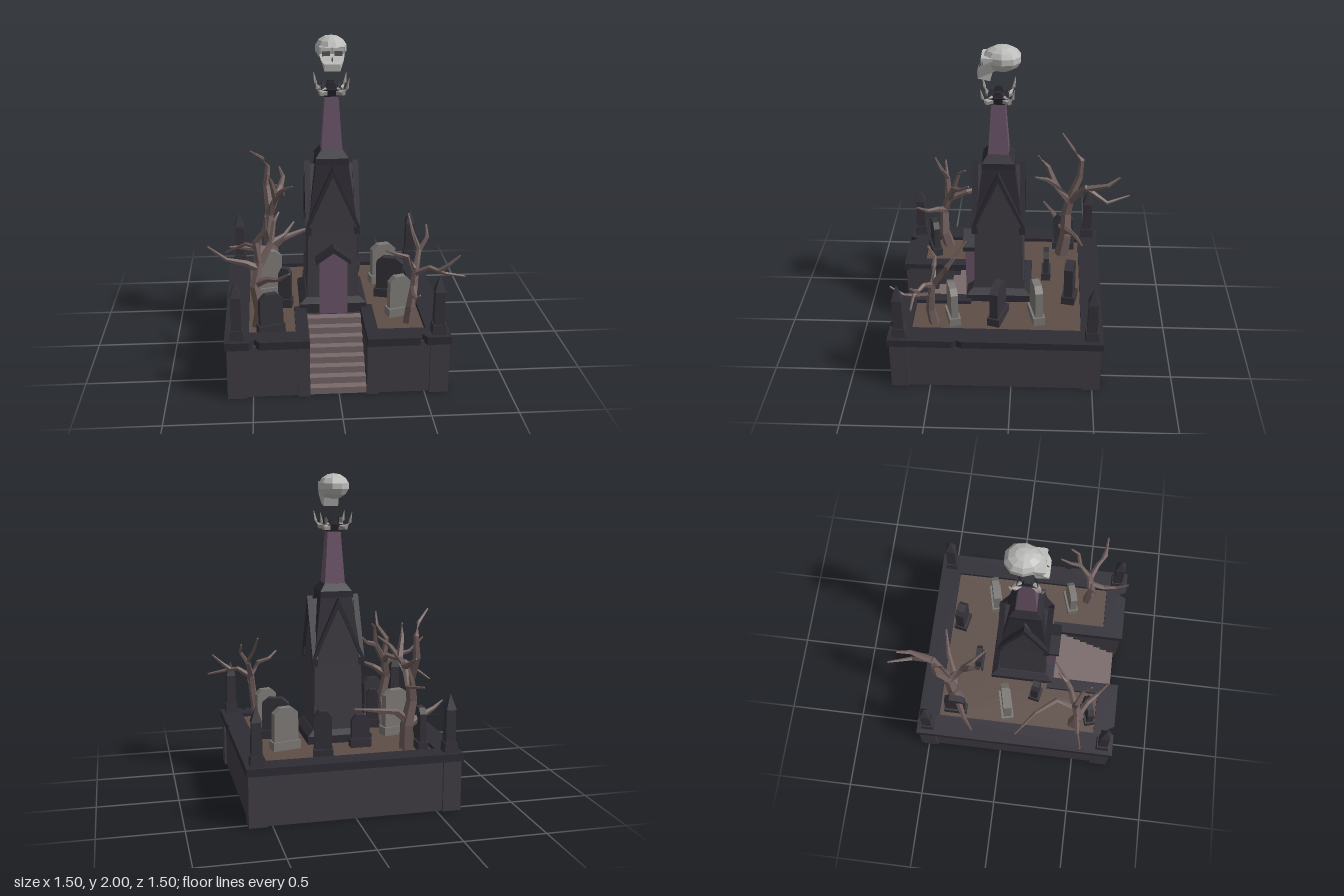
import * as THREE from 'three';

const mat = (color) => new THREE.MeshStandardMaterial({ color, flatShading: true });
const M = {
  trim: mat(0x2f2d35), wall: mat(0x413e45), stone: mat(0x36343b), pale: mat(0x7c7975),
  dirt: mat(0x5e4e47), step: mat(0x79696a), purple: mat(0x6d566b), bark: mat(0x705f5d),
  bone: mat(0xbcbcba), horn: mat(0xa19d99), socket: mat(0x5a5a5c),
};
const CX = -0.004, CZ = 0.095; // centre of the plot and tower

function add(parent, name, geo, material, x = 0, y = 0, z = 0, ry = 0) {
  const mesh = new THREE.Mesh(geo, material);
  mesh.name = name;
  mesh.position.set(x, y, z);
  mesh.rotation.y = ry;
  parent.add(mesh);
  return mesh;
}
// box from its min and max corners
function block(parent, name, material, x0, x1, y0, y1, z0, z1) {
  return add(parent, name, new THREE.BoxGeometry(x1 - x0, y1 - y0, z1 - z0), material,
    (x0 + x1) / 2, (y0 + y1) / 2, (z0 + z1) / 2);
}
// square frustum, half widths b (bottom) and t (top), standing on y = y0
function frustum(b, t, y0, y1) {
  return new THREE.CylinderGeometry(t * Math.SQRT2, b * Math.SQRT2, y1 - y0, 4)
    .rotateY(Math.PI / 4).translate(0, (y0 + y1) / 2, 0);
}
const shape = (pts) => new THREE.Shape(pts.map(([x, y]) => new THREE.Vector2(x, y)));
const extrude = (pts, depth) => new THREE.ExtrudeGeometry(shape(pts), { depth, bevelEnabled: false });
// plan outline in x, z, extruded down from y = top
const plan = (pts, top, depth) => extrude(pts, depth).rotateX(Math.PI / 2).translate(0, top, 0);

// tapering five-sided branch along a bent path
function branch(pts, r0, r1) {
  const p = pts.map((a) => new THREE.Vector3(...a)), N = 5, pos = [], idx = [];
  p.forEach((c, i) => {
    const dir = p[Math.min(i + 1, p.length - 1)].clone().sub(p[Math.max(i - 1, 0)]).normalize();
    const ref = Math.abs(dir.y) > 0.8 ? new THREE.Vector3(0, 0, 1) : new THREE.Vector3(0, 1, 0);
    const u = ref.clone().addScaledVector(dir, -ref.dot(dir)).normalize();
    const v = dir.clone().cross(u);
    const r = r0 + (r1 - r0) * i / (p.length - 1);
    for (let k = 0; k < N; k++) {
      const a = k / N * Math.PI * 2;
      const q = c.clone().addScaledVector(u, r * Math.cos(a)).addScaledVector(v, r * Math.sin(a));
      pos.push(q.x, q.y, q.z);
      if (i) {
        const A = (i - 1) * N + k, B = (i - 1) * N + (k + 1) % N;
        idx.push(A, B, B + N, A, B + N, A + N);
      }
    }
  });
  const e = (p.length - 1) * N;
  for (let k = 1; k < N - 1; k++) idx.push(e, e + k, e + k + 1);
  const g = new THREE.BufferGeometry();
  g.setAttribute('position', new THREE.Float32BufferAttribute(pos, 3));
  g.setIndex(idx);
  g.computeVertexNormals();
  return g;
}
function tree(root, name, trunk, r, branches) {
  const g = new THREE.Group();
  g.name = name;
  root.add(g);
  add(g, 'trunk', branch(trunk, r, r * 0.6), M.bark);
  branches.forEach((b) => add(g, 'branch', branch(b, b.length > 3 ? r * 0.6 : r * 0.48, 0.006), M.bark));
}

// gravestone with clipped corners on a low foot
function grave(root, x, z, w, d, top, ry, material) {
  const g = new THREE.Group(), h = top - 0.33, a = w * 0.44;
  g.name = 'gravestone';
  g.position.set(x, 0.33, z);
  g.rotation.y = ry;
  root.add(g);
  add(g, 'foot', new THREE.BoxGeometry(w, 0.06, d + 0.015), material, 0, 0.03, 0);
  add(g, 'slab', extrude([[-a, 0], [a, 0], [a, h - 0.035], [a * 0.5, h], [-a * 0.5, h], [-a, h - 0.035]], d * 0.8)
    .translate(0, 0, -d * 0.4), material);
}

function buildPlot(root) {
  add(root, 'plotWalls', plan([[-0.17, 0.72], [-0.635, 0.72], [-0.635, -0.535], [0.627, -0.535], [0.627, 0.72],
    [0.162, 0.72], [0.162, 0.31], [-0.17, 0.31]], 0.325, 0.325), M.wall);
  add(root, 'rim', plan([[-0.17, 0.75], [-0.46, 0.75], [-0.49, 0.7], [-0.52, 0.75], [-0.66, 0.75], [-0.66, -0.56],
    [0.65, -0.56], [0.65, 0.3], [0.635, 0.33], [0.65, 0.36], [0.65, 0.75], [0.51, 0.75], [0.485, 0.7], [0.465, 0.75],
    [0.162, 0.75], [0.162, 0.27], [0.235, 0.27], [0.235, 0.615], [0.515, 0.615], [0.515, -0.425], [-0.52, -0.425],
    [-0.52, 0.615], [-0.245, 0.615], [-0.245, 0.27], [-0.17, 0.27]], 0.36, 0.047), M.trim);
  add(root, 'soil', plan([[-0.53, -0.44], [0.525, -0.44], [0.525, 0.63], [0.2, 0.63], [0.2, 0.29], [-0.2, 0.29],
    [-0.2, 0.63], [-0.53, 0.63]], 0.336, 0.02), M.dirt);
  for (const sx of [-1, 1]) {
    for (const sz of [-1, 1]) {
      add(root, 'cornerPillar', new THREE.BoxGeometry(0.112, 0.32, 0.112), M.wall, CX + sx * 0.588, 0.16, CZ + sz * 0.588);
      // corner obelisks
      const o = new THREE.Group();
      o.name = 'obelisk';
      o.position.set(CX + sx * 0.585, 0, CZ + sz * 0.585);
      root.add(o);
      add(o, 'obeliskFoot', frustum(0.042, 0.038, 0.355, 0.42), M.stone);
      add(o, 'obeliskShaft', frustum(0.032, 0.028, 0.42, 0.62), M.stone);
      add(o, 'obeliskCap', frustum(0.032, 0.001, 0.62, 0.715), M.stone);
    }
    const x = CX + sx * 0.201;
    block(root, 'stairPillar', M.wall, x - 0.035, x + 0.035, 0, 0.32, 0.62, 0.738);
  }
  // stairs
  for (let i = 0; i < 8; i++)
    block(root, 'step', M.step, -0.172, 0.164, 0, 0.04 * (i + 1), 0.25, 0.717 - i * 0.05);
}

function buildTower(root) {
  const t = new THREE.Group();
  t.name = 'tower';
  t.position.set(CX, 0, CZ);
  root.add(t);
  add(t, 'plinth', frustum(0.205, 0.205, 0.32, 0.385), M.trim);
  add(t, 'plinthSlope', frustum(0.205, 0.165, 0.385, 0.415), M.trim);
  add(t, 'walls', frustum(0.158, 0.148, 0.4, 0.84), M.wall);
  add(t, 'roofCore', frustum(0.145, 0.098, 0.9, 1.245), M.trim);
  // crossed gables with heavy verge boards
  const tri = extrude([[-0.148, 0.83], [0.148, 0.83], [0, 1.225]], 0.3).translate(0, 0, -0.15);
  const verge = extrude([[-0.165, 0.82], [0, 1.185], [0.165, 0.82], [0.165, 0.87], [0, 1.245], [-0.165, 0.87]], 0.035)
    .translate(0, 0, 0.13);
  for (let i = 0; i < 4; i++) {
    if (i < 2) add(t, 'gable', tri, M.wall, 0, 0, 0, i * Math.PI / 2);
    add(t, 'verge', verge, M.trim, 0, 0, 0, i * Math.PI / 2);
  }
  add(t, 'spireBase', frustum(0.1, 0.1, 1.24, 1.28), M.trim);
  add(t, 'spireShoulder', frustum(0.1, 0.066, 1.28, 1.325), M.trim);
  add(t, 'spire', frustum(0.064, 0.041, 1.32, 1.65), M.purple);
  // crown with points and horns
  add(t, 'crown', frustum(0.043, 0.062, 1.645, 1.69), M.trim);
  for (let i = 0; i < 4; i++) {
    const a = i * Math.PI / 2;
    add(t, 'crownPoint', extrude([[-0.035, 1.68], [0.035, 1.68], [0.018, 1.73], [-0.018, 1.73]], 0.02)
      .translate(0, 0, 0.036), M.trim, 0, 0, 0, a);
    add(t, 'horn', branch([[0.035, 1.675, 0.035], [0.068, 1.672, 0.068], [0.088, 1.705, 0.088], [0.099, 1.765, 0.099]],
      0.026, 0.002), M.horn, 0, 0, 0, a);
  }
  // porch
  add(t, 'door', extrude([[-0.085, 0.32], [0.085, 0.32], [0.085, 0.66], [0, 0.73], [-0.085, 0.66]], 0.16)
    .translate(0, 0, 0.055), M.purple);
  add(t, 'porchRoof', extrude([[-0.105, 0.65], [0, 0.725], [0.105, 0.65], [0.105, 0.68], [0, 0.757], [-0.105, 0.68]], 0.13)
    .translate(0, 0, 0.1), M.trim);
}

function buildSkull(root) {
  const s = new THREE.Group();
  s.name = 'skull';
  s.position.x = CX;
  root.add(s);
  const c = new THREE.SphereGeometry(1, 10, 7);
  const p = c.attributes.position;
  for (let i = 0; i < p.count; i++) {
    const y = p.getY(i), z = p.getZ(i);
    p.setXYZ(i, p.getX(i) * 0.095 * (1 - 0.12 * z), 1.925 + y * (y < 0 ? 0.082 : 0.075), 0.07 + z * 0.115);
  }
  add(s, 'cranium', c, M.bone);
  // face and jaw, narrowing downward
  const f = extrude([[0.186, 1.945], [0.178, 1.905], [0.2, 1.87], [0.215, 1.85], [0.212, 1.81], [0.14, 1.795],
    [0.125, 1.85], [0.07, 1.88], [0.09, 1.945]], 2).translate(0, 0, -1).rotateY(-Math.PI / 2);
  const q = f.attributes.position;
  for (let i = 0; i < q.count; i++)
    q.setX(i, q.getX(i) * (q.getY(i) > 1.89 ? 0.074 : q.getY(i) > 1.86 ? 0.066 : 0.046));
  add(s, 'face', f, M.bone);
  for (const sx of [-1, 1]) {
    add(s, 'eyeSocket', new THREE.BoxGeometry(0.045, 0.03, 0.02), M.socket, sx * 0.036, 1.907, 0.175);
    add(s, 'brow', new THREE.BoxGeometry(0.066, 0.018, 0.03), M.bone, sx * 0.036, 1.934, 0.176);
  }
  add(s, 'noseHole', new THREE.ConeGeometry(0.012, 0.026, 3), M.socket, 0, 1.878, 0.197);
}

export function createModel() {
  const root = new THREE.Group();
  root.name = 'graveyardTower';
  buildPlot(root);
  buildTower(root);
  buildSkull(root);

  // gravestones: x, z, width, depth, top, turn, material
  [[0.353, -0.148, 0.18, 0.06, 0.6, 0.24, M.pale], [-0.4, 0.013, 0.195, 0.065, 0.63, 0.24, M.pale],
    [0.39, 0.37, 0.155, 0.055, 0.59, 0.3, M.pale], [0.37, 0.09, 0.19, 0.065, 0.6, -0.28, M.stone],
    [0.16, -0.357, 0.12, 0.07, 0.625, -0.2, M.stone], [-0.108, -0.205, 0.13, 0.045, 0.54, 0, M.stone],
    [-0.297, 0.2, 0.09, 0.06, 0.59, -0.2, M.stone], [-0.39, 0.56, 0.16, 0.05, 0.58, 0.3, M.stone],
    [-0.458, -0.32, 0.15, 0.05, 0.6, Math.PI / 2, M.stone]].forEach((a) => grave(root, ...a));

  // dead trees
  tree(root, 'backTree', [[-0.38, 0.32, -0.31], [-0.37, 0.5, -0.34], [-0.4, 0.65, -0.34], [-0.38, 0.78, -0.36]], 0.05, [
    [[-0.38, 0.76, -0.35], [-0.4, 0.93, -0.42], [-0.39, 1.06, -0.43], [-0.42, 1.13, -0.37], [-0.5, 1.2, -0.3]],
    [[-0.38, 0.76, -0.36], [-0.31, 0.9, -0.46], [-0.285, 0.8, -0.6], [-0.337, 0.83, -0.75]],
    [[-0.31, 0.89, -0.46], [-0.285, 0.93, -0.6], [-0.31, 0.98, -0.68]],
    [[-0.38, 0.76, -0.35], [-0.34, 0.9, -0.26], [-0.3, 0.96, -0.2], [-0.237, 1.01, -0.125]],
    [[-0.34, 0.9, -0.26], [-0.37, 1.02, -0.21], [-0.39, 1.09, -0.14]],
    [[-0.37, 0.52, -0.34], [-0.3, 0.58, -0.34], [-0.17, 0.61, -0.395], [-0.01, 0.64, -0.434]],
    [[-0.38, 0.5, -0.34], [-0.47, 0.53, -0.29], [-0.57, 0.56, -0.24], [-0.65, 0.59, -0.18]],
  ]);
  tree(root, 'frontTallTree', [[-0.465, 0.32, 0.47], [-0.45, 0.45, 0.5], [-0.48, 0.6, 0.5], [-0.45, 0.74, 0.46]], 0.042, [
    [[-0.46, 0.7, 0.47], [-0.53, 0.74, 0.48], [-0.64, 0.77, 0.49], [-0.745, 0.86, 0.51]],
    [[-0.45, 0.72, 0.46], [-0.44, 0.78, 0.34], [-0.53, 0.76, 0.22], [-0.66, 0.66, 0.1]],
    [[-0.46, 0.62, 0.5], [-0.4, 0.66, 0.54], [-0.34, 0.68, 0.6], [-0.28, 0.74, 0.66]],
    [[-0.45, 0.72, 0.46], [-0.47, 0.87, 0.47], [-0.41, 0.96, 0.5], [-0.41, 1.05, 0.54]],
    [[-0.45, 0.72, 0.46], [-0.38, 0.84, 0.42], [-0.36, 0.96, 0.38], [-0.33, 1, 0.335]],
    [[-0.38, 0.84, 0.42], [-0.3, 0.87, 0.37], [-0.24, 0.93, 0.31]],
  ]);
  tree(root, 'frontSmallTree', [[0.43, 0.32, 0.48], [0.44, 0.45, 0.5], [0.46, 0.57, 0.49], [0.47, 0.68, 0.47]], 0.034, [
    [[0.47, 0.65, 0.48], [0.55, 0.7, 0.52], [0.63, 0.68, 0.57], [0.747, 0.66, 0.575]],
    [[0.6, 0.69, 0.55], [0.65, 0.73, 0.565], [0.715, 0.79, 0.57]],
    [[0.47, 0.66, 0.47], [0.42, 0.75, 0.47], [0.35, 0.77, 0.47], [0.29, 0.81, 0.52]],
    [[0.47, 0.66, 0.47], [0.5, 0.77, 0.4], [0.47, 0.85, 0.34], [0.45, 0.95, 0.27]],
    [[0.46, 0.57, 0.49], [0.45, 0.55, 0.58], [0.455, 0.56, 0.66], [0.458, 0.62, 0.74]],
    [[0.5, 0.76, 0.4], [0.55, 0.84, 0.38], [0.55, 0.9, 0.33]],
  ]);
  return root;
}
